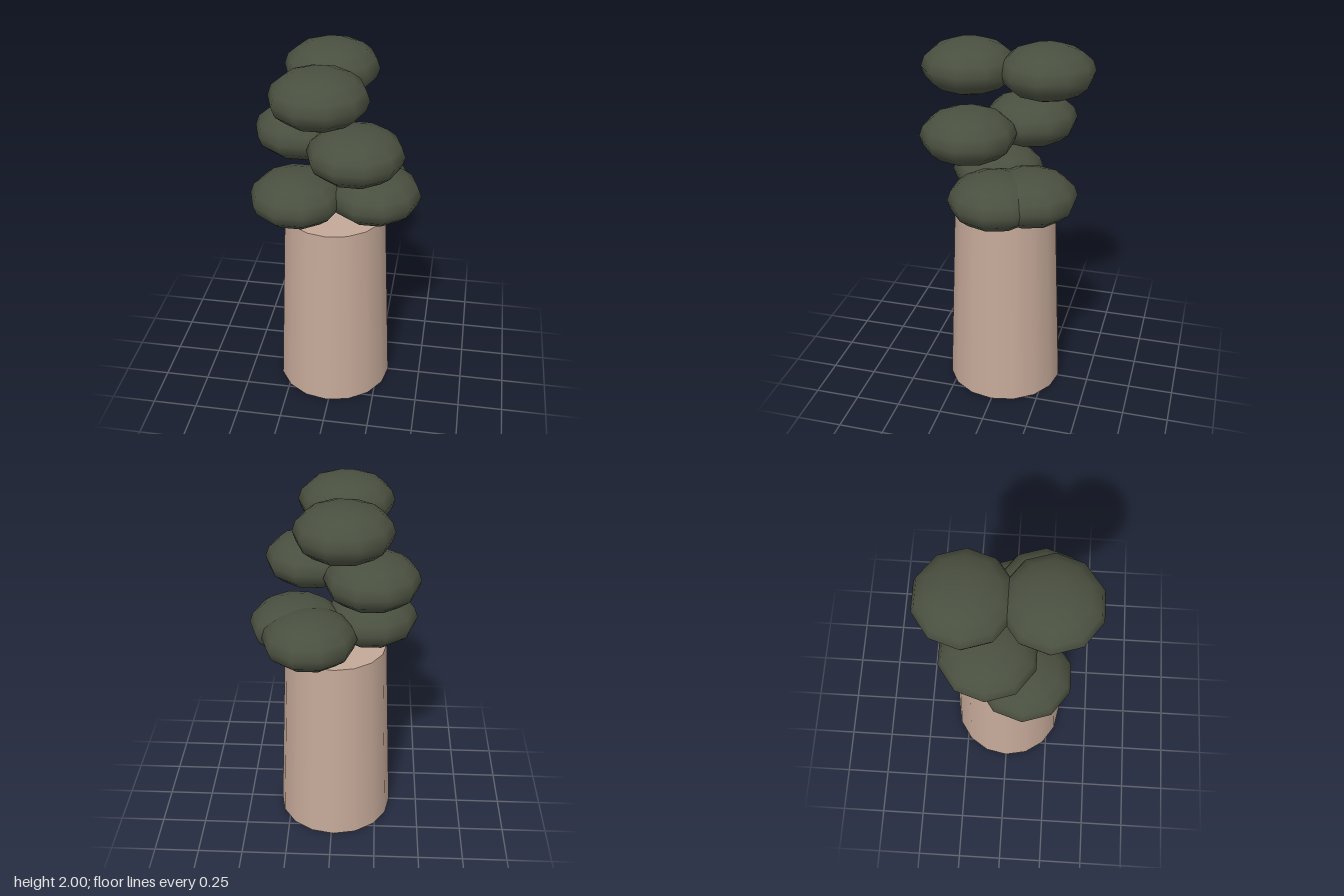
import * as THREE from 'three';

export function createModel() {
  const model = new THREE.Group();
  const bark = new THREE.MeshStandardMaterial({ color: 0xc4a898 });
  const leaf = new THREE.MeshStandardMaterial({ color: 0x4a5040 });
  const axisX = -0.012; // the leaf ring is lopsided, so the trunk sits off centre

  // Tapered trunk
  const trunk = new THREE.Mesh(new THREE.CylinderGeometry(0.28, 0.325, 1.1, 16), bark);
  trunk.name = 'trunk';
  trunk.position.set(axisX, 0.55, 0);
  model.add(trunk);

  // Seven flattened leaf clumps around the axis, stepping through three tiers
  const foliage = new THREE.Group();
  foliage.name = 'foliage';
  const clumpGeometry = new THREE.SphereGeometry(0.255, 10, 8).scale(1, 0.56, 1);
  const count = 7, ringRadius = 0.2135;
  for (let i = 0; i < count; i++) {
    const angle = (i / count) * Math.PI * 2;
    const clump = new THREE.Mesh(clumpGeometry, leaf);
    clump.name = `leafClump${i + 1}`;
    clump.position.set(
      axisX + ringRadius * Math.cos(angle),
      1.225 + (i % 3) * 0.316,
      ringRadius * Math.sin(angle)
    );
    foliage.add(clump);
  }
  model.add(foliage);

  return model;
}
